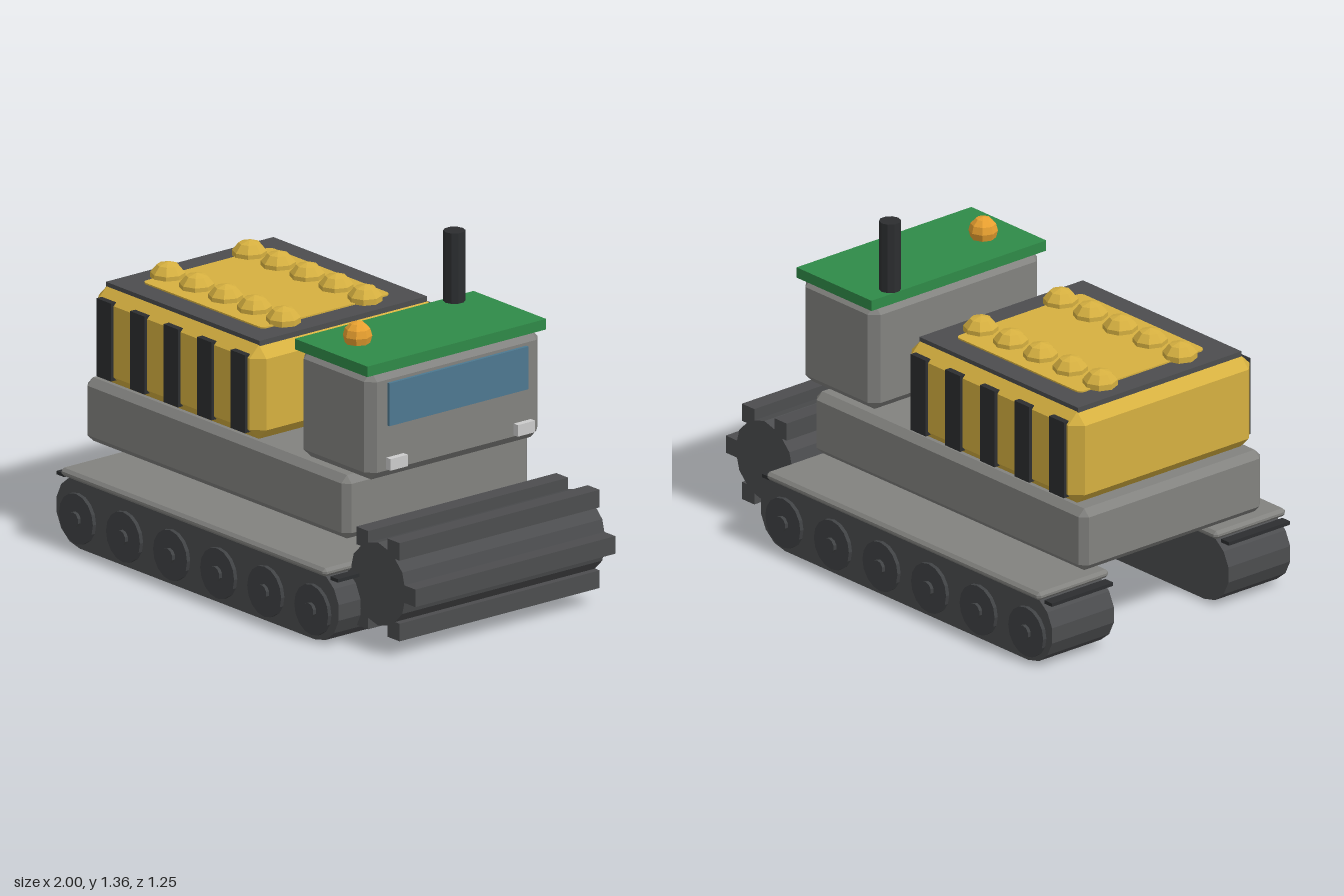
import * as THREE from 'three';
import { ConvexGeometry } from 'three/addons/geometries/ConvexGeometry.js';

const mat = (color) => new THREE.MeshStandardMaterial({ color, flatShading: true });
const GREY = mat(0x82827f), DARK = mat(0x4c4d4f), WHEEL = mat(0x404244), BLACK = mat(0x2c2e30);
const YELLOW = mat(0xd6b040), GREEN = mat(0x2f8a48), GLASS = mat(0x4d7890);
const ORANGE = mat(0xe8a030), WHITE = mat(0xe4e4e2);

// Box with all edges cut at 45 degrees
function chamferBox(w, h, d, c) {
  const pts = [];
  const [a, b, e] = [w / 2, h / 2, d / 2];
  for (const i of [-1, 1]) for (const j of [-1, 1]) for (const k of [-1, 1]) {
    pts.push(new THREE.Vector3(i * a, j * (b - c), k * (e - c)));
    pts.push(new THREE.Vector3(i * (a - c), j * b, k * (e - c)));
    pts.push(new THREE.Vector3(i * (a - c), j * (b - c), k * e));
  }
  return new ConvexGeometry(pts);
}

export function createModel() {
  const model = new THREE.Group();
  model.name = 'trackedVehicle';

  const add = (name, geo, material, x, y, z, parent = model) => {
    const m = new THREE.Mesh(geo, material);
    m.name = name;
    m.position.set(x, y, z);
    parent.add(m);
    return m;
  };
  // Block from min/max extents, optionally chamfered
  const block = (name, material, [x0, x1], [y0, y1], [z0, z1], c = 0, parent = model) => {
    const size = [x1 - x0, y1 - y0, z1 - z0];
    const geo = c ? chamferBox(...size, c) : new THREE.BoxGeometry(...size);
    return add(name, geo, material, (x0 + x1) / 2, (y0 + y1) / 2, (z0 + z1) / 2, parent);
  };
  // Cylinder lying along z
  const disc = (r, len, sides) => new THREE.CylinderGeometry(r, r, len, sides).rotateX(Math.PI / 2);

  // Track belt outline: a stadium with faceted ends
  const belt = new THREE.Shape();
  const R = 0.141;
  for (const [cx, start] of [[0.54, -Math.PI / 2], [-0.845, Math.PI / 2]])
    for (let i = 0; i <= 7; i++) {
      const a = start + (i / 7) * Math.PI;
      const p = [cx + R * Math.cos(a), R * Math.sin(a)];
      if (i === 0 && cx > 0) belt.moveTo(...p); else belt.lineTo(...p);
    }
  const beltGeo = new THREE.ExtrudeGeometry(belt, { depth: 0.31, bevelEnabled: false }).translate(0, 0, -0.155);

  // Track units, mirrored across z
  for (const s of [-1, 1]) {
    const track = new THREE.Group();
    track.name = s > 0 ? 'frontSideTrack' : 'backSideTrack';
    model.add(track);
    const zs = (a, b) => (s > 0 ? [a, b] : [-b, -a]);
    add('belt', beltGeo, DARK, 0, R, s * 0.442, track);
    block('fender', GREY, [-0.935, 0.625], [0.272, 0.305], zs(0.265, 0.622), 0.012, track);
    for (const x of [-0.96, 0.65])
      block('mudFlap', BLACK, [x - 0.022, x + 0.022], [0.26, 0.274], zs(0.29, 0.597), 0, track);
    for (let i = 0; i < 6; i++) {
      const x = -0.85 + i * 0.277;
      add('roadWheel', disc(0.1, 0.05, 16), WHEEL, x, 0.12, s * 0.588, track);
      add('wheelHub', disc(0.03, 0.04, 10), WHEEL, x, 0.12, s * 0.607, track);
    }
  }

  // Hull
  block('hull', GREY, [-1, 0.55], [0.36, 0.612], [-0.455, 0.455], 0.028);

  // Cargo module with side ribs
  block('cargoBox', YELLOW, [-0.958, 0.028], [0.612, 0.985], [-0.455, 0.455], 0.045);
  for (let i = 0; i < 5; i++)
    for (const s of [-1, 1])
      add('cargoRib', new THREE.BoxGeometry(0.085, 0.31, 0.03), BLACK, -0.86 + i * 0.197, 0.798, s * 0.453);
  block('lidFrame', DARK, [-0.917, -0.013], [0.97, 1.002], [-0.41, 0.41]);

  // Lid panel with rounded corners
  const [pw, pd, pr] = [0.355, 0.315, 0.025];
  const panel = new THREE.Shape();
  [[1, 1], [-1, 1], [-1, -1], [1, -1]].forEach(([i, j], n) =>
    panel.absarc(i * (pw - pr), j * (pd - pr), pr, n * Math.PI / 2, (n + 1) * Math.PI / 2, false));
  const panelGeo = new THREE.ExtrudeGeometry(panel, { depth: 0.02, bevelEnabled: false, curveSegments: 3 });
  add('lidPanel', panelGeo.rotateX(-Math.PI / 2), YELLOW, -0.465, 0.988, 0);

  // Faceted domes on the lid
  const domeGeo = new THREE.SphereGeometry(0.07, 8, 5);
  domeGeo.scale(1, 0.86, 1);
  for (let i = 0; i < 5; i++)
    for (const s of [-1, 1]) add('lidDome', domeGeo, YELLOW, -0.805 + i * 0.17, 1.006, s * 0.2);

  // Cab
  block('cab', GREY, [0.23, 0.655], [0.612, 1.042], [-0.425, 0.425], 0.035);
  block('cabRoof', GREEN, [0.228, 0.655], [1.038, 1.08], [-0.438, 0.438]);
  block('windshield', GLASS, [0.645, 0.668], [0.825, 0.995], [-0.34, 0.34]);
  for (const s of [-1, 1])
    add('headlight', new THREE.BoxGeometry(0.025, 0.046, 0.085), WHITE, 0.678, 0.68, s * 0.312);
  add('exhaustPipe', new THREE.CylinderGeometry(0.042, 0.042, 0.3, 10), BLACK, 0.268, 1.21, -0.31);
  add('beacon', new THREE.SphereGeometry(0.056, 8, 6), ORANGE, 0.41, 1.108, 0.282);

  // Front milling drum with six bars
  const drum = new THREE.Group();
  drum.name = 'millingDrum';
  drum.position.set(0.78, 0.26, 0);
  model.add(drum);
  add('drumCore', disc(0.165, 0.98, 12), DARK, 0, 0, 0, drum);
  for (let i = 0; i < 6; i++) {
    const a = (i * Math.PI) / 3;
    add('drumBar', new THREE.BoxGeometry(0.07, 0.07, 0.98), DARK, 0.185 * Math.cos(a), 0.185 * Math.sin(a), 0, drum);
  }
  return model;
}
